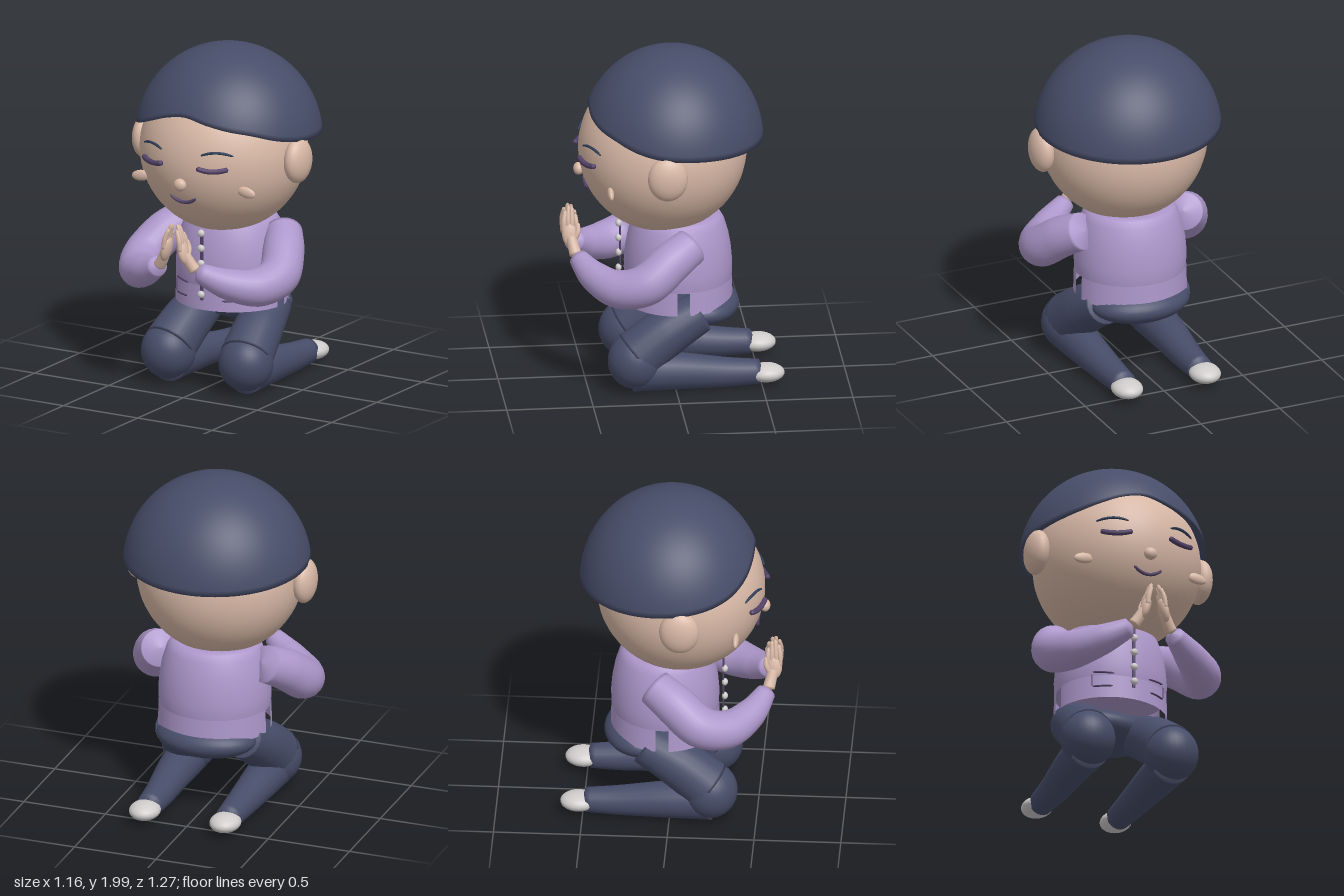
import * as THREE from 'three';
import { mergeVertices } from 'three/addons/utils/BufferGeometryUtils.js';

const mat = (name, color, side = THREE.FrontSide) => {
  const m = new THREE.MeshStandardMaterial({ color, side });
  m.name = name;
  return m;
};

export function createModel() {
  const root = new THREE.Group();
  root.name = 'kneelingFigure';
  const skin = mat('skin', 0xd9b9a7);
  const navy = mat('navy', 0x474d69, THREE.DoubleSide);
  const lilac = mat('lilac', 0xae98cc, THREE.DoubleSide);
  const pale = mat('paleGrey', 0xd0cccc);
  const plum = mat('plum', 0x54436a);
  const browBlue = mat('browBlue', 0x30405a);

  const V = (p) => new THREE.Vector3(...p);
  const add = (name, geo, material, parent = root) => {
    const mesh = new THREE.Mesh(geo, material);
    mesh.name = name;
    parent.add(mesh);
    return mesh;
  };
  const ball = (name, pos, size, material, parent = root, seg = 32) => {
    const mesh = add(name, new THREE.SphereGeometry(1, seg, seg * 0.75), material, parent);
    mesh.position.set(...pos);
    mesh.scale.set(...size);
    return mesh;
  };
  // Tube along points whose radius follows an evenly spaced list; ends are closed
  const limb = (name, points, radii, material, parent = root, seg = 28, sides = 20) => {
    const path = new THREE.CatmullRomCurve3(points.map(V));
    const geo = new THREE.TubeGeometry(path, seg, 1, sides);
    const pos = geo.attributes.position, v = new THREE.Vector3();
    for (let i = 0; i <= seg; i++) {
      const centre = path.getPointAt(i / seg);
      const t = (i / seg) * (radii.length - 1), k = Math.min(Math.floor(t), radii.length - 2);
      const r = i === 0 || i === seg ? 0.0001 : THREE.MathUtils.lerp(radii[k], radii[k + 1], t - k);
      for (let j = 0; j <= sides; j++) {
        const n = i * (sides + 1) + j;
        v.fromBufferAttribute(pos, n).sub(centre).multiplyScalar(r).add(centre);
        pos.setXYZ(n, v.x, v.y, v.z);
      }
    }
    geo.deleteAttribute('uv');
    geo.deleteAttribute('normal');
    const smooth = mergeVertices(geo, 1e-6);
    smooth.computeVertexNormals();
    return add(name, smooth, material, parent);
  };

  // Head
  const R = 0.485, HY = 1.4, HZ = 0.05;
  ball('head', [0, HY, HZ], [R, R, R], skin, root, 48);
  ball('nose', [0, 1.285, 0.535], [0.039, 0.037, 0.03], skin);
  const onHead = (x, y, lift) => [x, y, HZ + Math.sqrt((R + lift) ** 2 - x * x - (y - HY) ** 2)];
  // Arched line laid over the face; tip is the end thickness
  const faceLine = (name, cx, cy, half, bend, r, tip, material, lift) => {
    const pts = [];
    for (let i = 0; i <= 8; i++) {
      const t = i / 4 - 1;
      pts.push(onHead(cx + t * half, cy + bend * t * t, lift));
    }
    limb(name, pts, [tip, r, r, r, tip], material, root, 24, 8);
  };
  faceLine('mouth', 0, 1.172, 0.087, 0.036, 0.0105, 0.007, plum, 0.012);

  // Hair cap: ellipsoid rows running down to a swept fringe, then tucked in
  const fringe = new THREE.SplineCurve(
    [1.505, 1.515, 1.532, 1.56, 1.605, 1.652, 1.672, 1.643, 1.613, 1.587, 1.548, 1.52, 1.505]
      .map((y, i) => new THREE.Vector2(i, y)));
  const hairline = (a) => (Math.cos(a) > 0
    ? fringe.getPoint(Math.asin(Math.sin(a)) / Math.PI + 0.5).y
    : 1.505 + 0.033 * Math.cos(a));
  const hairGeo = () => {
    const N = 96, M = 24, H = 0.55, cy = 1.45, pos = [], idx = [];
    for (let i = 0; i <= M + 1; i++) {
      for (let j = 0; j < N; j++) {
        const a = (j / N) * Math.PI * 2;
        const phi = Math.acos((hairline(a) - cy) / H) * Math.min(i / M, 1);
        const s = Math.sin(phi) * (i > M ? 0.91 : 1);
        pos.push(0.545 * s * Math.sin(a), cy + H * Math.cos(phi) + (i > M ? 0.02 : 0), -0.004 + 0.527 * s * Math.cos(a));
        if (i <= M) {
          const p = i * N + j, q = i * N + ((j + 1) % N);
          idx.push(p, p + N, q, q, p + N, q + N);
        }
      }
    }
    const g = new THREE.BufferGeometry();
    g.setAttribute('position', new THREE.Float32BufferAttribute(pos, 3));
    g.setIndex(idx);
    const merged = mergeVertices(g, 1e-6);
    merged.computeVertexNormals();
    return merged;
  };
  add('hair', hairGeo(), navy);

  // Jacket body, closed at the waist
  const profile = [[0, 0.608], [0.315, 0.608], [0.325, 0.612], [0.328, 0.7], [0.32, 0.79], [0.305, 0.87], [0.28, 0.95], [0.255, 0.99], [0.22, 1.0], [0, 1.0]];
  const jacket = add('jacket', new THREE.LatheGeometry(profile.map((p) => new THREE.Vector2(...p)), 48), lilac);
  jacket.scale.z = 0.95;
  jacket.position.z = -0.04;
  // Jacket skirt in front and back halves with open side slits
  const slit = 0.12, sweep = Math.PI - 2 * slit;
  [['frontSkirt', -Math.PI / 2 + slit], ['backSkirt', Math.PI / 2 + slit]].forEach(([name, start]) => {
    const skirt = add(name, new THREE.CylinderGeometry(0.326, 0.33, 0.14, 40, 1, true, start, sweep), lilac);
    skirt.scale.z = 0.95;
    skirt.position.set(0, 0.545, -0.04);
  });

  // Placket and buttons
  const placket = add('placket', new THREE.BoxGeometry(0.018, 0.41, 0.009), plum);
  placket.position.set(0, 0.745, 0.295);
  [0.575, 0.667, 0.76, 0.85, 0.94].forEach((y) => ball('button', [0, y, 0.303], [0.022, 0.022, 0.018], pale, root, 16));

  // Hips
  ball('hips', [0, 0.445, -0.17], [0.3, 0.11, 0.22], navy);

  for (const s of [1, -1]) {
    const X = (pts) => pts.map(([x, y, z]) => [s * x, y, z]);
    const side = s > 0 ? 'left' : 'right';

    // Face details
    ball(side + 'Ear', [s * 0.511, 1.395, 0.07], [0.067, 0.133, 0.115], skin);
    const cheek = ball(side + 'Cheek', [s * 0.353, 1.255, 0.385], [0.062, 0.032, 0.019], skin);
    cheek.rotation.z = -s * 0.15;
    faceLine(side + 'Eye', s * 0.2, 1.387, 0.086, 0.016, 0.016, 0.015, plum, 0.022);
    faceLine(side + 'Brow', s * 0.215, 1.494, 0.086, -0.02, 0.008, 0.005, browBlue, 0.01);

    // Sleeve from shoulder round the elbow to the wrist
    limb(side + 'Sleeve', X([[0.31, 0.915, -0.1], [0.395, 0.835, 0.04], [0.45, 0.725, 0.19], [0.4, 0.685, 0.34], [0.27, 0.72, 0.47], [0.12, 0.795, 0.56]]),
      [0.107, 0.121, 0.122, 0.111, 0.088, 0.052], lilac, root, 40, 24);

    // Hand raised in prayer
    limb(side + 'Wrist', X([[0.125, 0.79, 0.56], [0.095, 0.835, 0.572], [0.06, 0.9, 0.588]]), [0.036, 0.033, 0.03], skin, root, 12, 12);
    const hand = new THREE.Group();
    hand.name = side + 'Hand';
    hand.position.set(s * 0.082, 0.81, 0.572);
    hand.rotation.z = s * 0.25;
    root.add(hand);
    ball('palm', [0, 0.1, 0.018], [0.028, 0.075, 0.046], skin, hand, 20);
    [0.215, 0.258, 0.266, 0.238].forEach((tip, i) => {
      const z = -0.018 + i * 0.023;
      limb('finger', [[0, 0.1, z], [s * 0.008, 0.175, z], [s * 0.002, tip, z * 0.8]], [0.015, 0.015, 0.011], skin, hand, 12, 8);
    });
    limb('thumb', [[s * 0.005, 0.06, 0], [s * 0.014, 0.11, -0.026], [s * 0.01, 0.165, -0.028]], [0.018, 0.016, 0.011], skin, hand, 12, 8);

    // Pocket edging
    const front = (x, y) => [s * x, y, -0.04 + 0.95 * Math.sqrt(0.34 ** 2 - x * x)];
    limb(side + 'PocketTop', [front(0.105, 0.622), front(0.165, 0.628), front(0.222, 0.634)], [0.006, 0.006], plum, root, 8, 6);
    limb(side + 'PocketSide', [front(0.222, 0.625), front(0.222, 0.58), front(0.222, 0.542)], [0.003, 0.003], plum, root, 8, 6);
    limb(side + 'PocketBottom', [front(0.115, 0.542), front(0.17, 0.542), front(0.222, 0.542)], [0.006, 0.006], plum, root, 8, 6);

    // Folded leg and shoe
    limb(side + 'Thigh', X([[0.2, 0.46, -0.16], [0.235, 0.34, 0.06], [0.26, 0.205, 0.24]]), [0.118, 0.143, 0.156], navy);
    ball(side + 'Knee', [s * 0.261, 0.19, 0.234], [0.159, 0.165, 0.158], navy);
    limb(side + 'Shin', X([[0.26, 0.13, 0.27], [0.255, 0.114, -0.03], [0.245, 0.092, -0.3], [0.242, 0.087, -0.51]]), [0.124, 0.11, 0.09, 0.07], navy);
    ball(side + 'Shoe', [s * 0.247, 0.082, -0.525], [0.09, 0.053, 0.105], pale);
  }
  return root;
}
